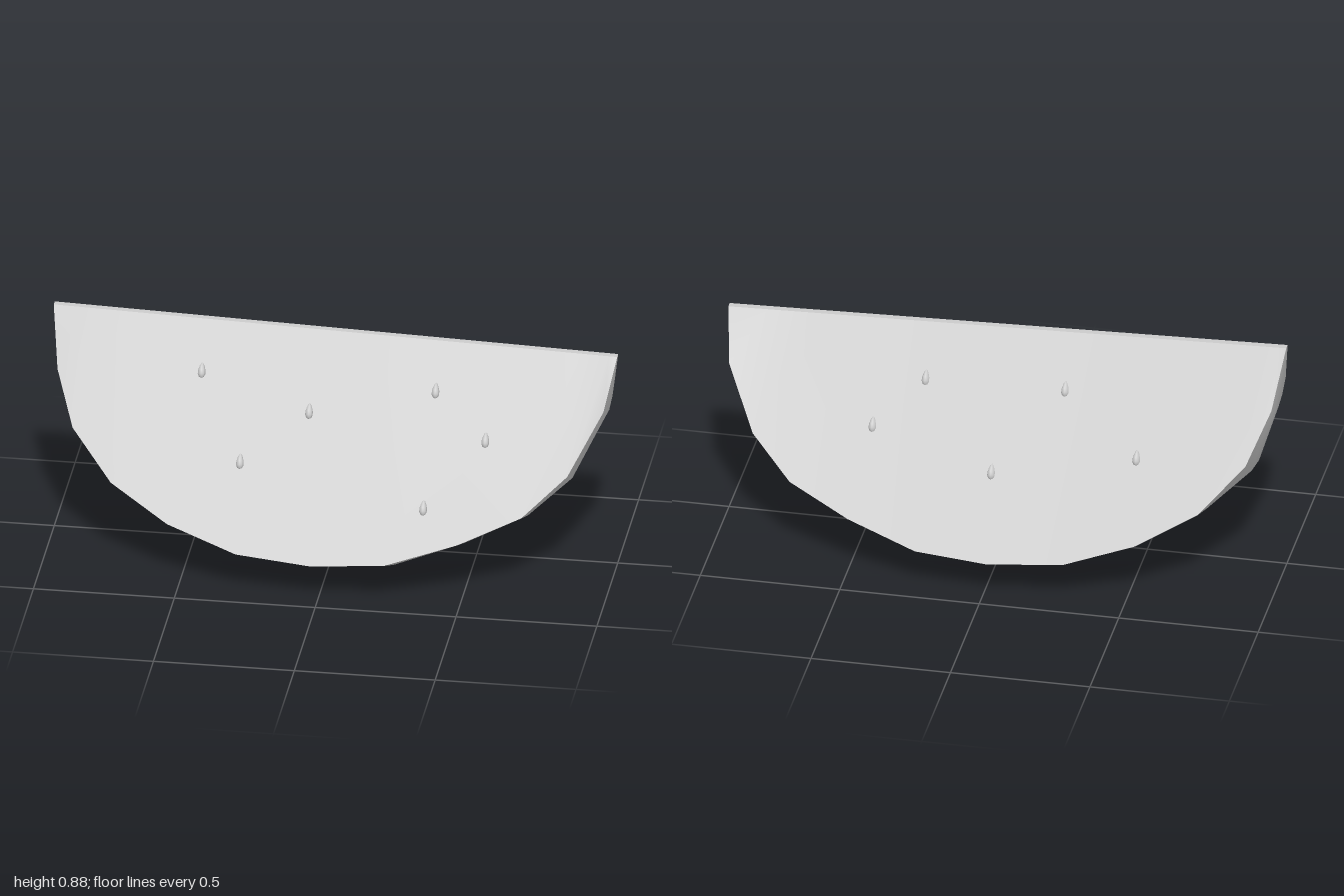
import * as THREE from 'three';

// Cross-sections along the wedge: x, rim height, rim half-width, lowest rind height
const SECTIONS = [
  [-1, 0.875, 0.012, 0.875], [-0.97, 0.68, 0.125, 0.63], [-0.9, 0.51, 0.237, 0.405],
  [-0.75, 0.353, 0.335, 0.27], [-0.54, 0.242, 0.408, 0.13], [-0.29, 0.163, 0.452, 0.03],
  [-0.02, 0.143, 0.468, 0], [0.24, 0.16, 0.457, 0.02], [0.49, 0.235, 0.41, 0.12],
  [0.71, 0.33, 0.355, 0.235], [0.86, 0.46, 0.267, 0.37], [0.97, 0.66, 0.143, 0.6],
  [1, 0.815, 0.012, 0.815],
];
const RIDGE = 0.012;
const topY = (x) => 0.845 - 0.03 * x;

// Skin a strip between the section points returned by profile(section)
function loft(profile) {
  const pos = [], index = [];
  let n = 0;
  SECTIONS.forEach((s, i) => {
    const pts = profile(s);
    n = pts.length;
    pts.forEach(([y, z]) => pos.push(s[0], y, z));
    if (!i) return;
    for (let j = 0; j < n - 1; j++) {
      const a = (i - 1) * n + j, b = a + n;
      index.push(a, a + 1, b, b, a + 1, b + 1);
    }
  });
  const g = new THREE.BufferGeometry();
  g.setAttribute('position', new THREE.Float32BufferAttribute(pos, 3));
  g.setIndex(index);
  g.computeVertexNormals();
  return g;
}

// Point on the cut face at x and distance z from the middle
function onFace(x, z) {
  const i = SECTIONS.findIndex((s) => s[0] > x);
  const a = SECTIONS[i - 1], b = SECTIONS[i];
  const t = (x - a[0]) / (b[0] - a[0]);
  const rimY = THREE.MathUtils.lerp(a[1], b[1], t);
  const rimZ = THREE.MathUtils.lerp(a[2], b[2], t);
  const slope = (rimZ - RIDGE) / (topY(x) - rimY);
  return { y: topY(x) - (z - RIDGE) / slope, tilt: Math.atan(slope) };
}

export function createModel() {
  const model = new THREE.Group();
  const mat = new THREE.MeshStandardMaterial({ color: 0xcccccc });
  const add = (name, geometry) => {
    const m = new THREE.Mesh(geometry, mat);
    m.name = name;
    model.add(m);
    return m;
  };

  // Curved outer skin, rim to rim
  add('rind', loft(([, y, z, low]) => {
    const midY = low + 0.27 * (y - low);
    return [[y, z], [midY, z * 0.535], [low, 0], [midY, -z * 0.535], [y, -z]];
  }));

  // Two cut faces and the narrow ridge between them
  add('frontFlesh', loft(([x, y, z]) => [[topY(x), RIDGE], [y, z]]));
  add('backFlesh', loft(([x, y, z]) => [[y, -z], [topY(x), -RIDGE]]));
  add('ridge', loft(([x]) => [[topY(x), -RIDGE], [topY(x), RIDGE]]));

  // Teardrop seeds, half sunk in the cut faces
  const seedGeo = new THREE.SphereGeometry(1, 8, 6);
  const p = seedGeo.attributes.position;
  for (let i = 0; i < p.count; i++) {
    const taper = 1 - 0.4 * p.getY(i);
    p.setXYZ(i, p.getX(i) * 0.013 * taper, p.getY(i) * 0.028, p.getZ(i) * 0.014 * taper);
  }
  seedGeo.computeVertexNormals();
  const seeds = [
    [-0.46, 0.11], [-0.07, 0.17], [-0.3, 0.275], [0.37, 0.11], [0.56, 0.2], [0.36, 0.34],
    [-0.51, -0.24], [0, -0.29], [0.44, -0.22], [-0.23, -0.12], [0.27, -0.12],
  ];
  for (const [x, z] of seeds) {
    const { y, tilt } = onFace(x, Math.abs(z));
    const seed = add(z > 0 ? 'frontSeed' : 'backSeed', seedGeo);
    seed.position.set(x, y, z);
    seed.rotation.x = -Math.sign(z) * tilt;
  }
  return model;
}
